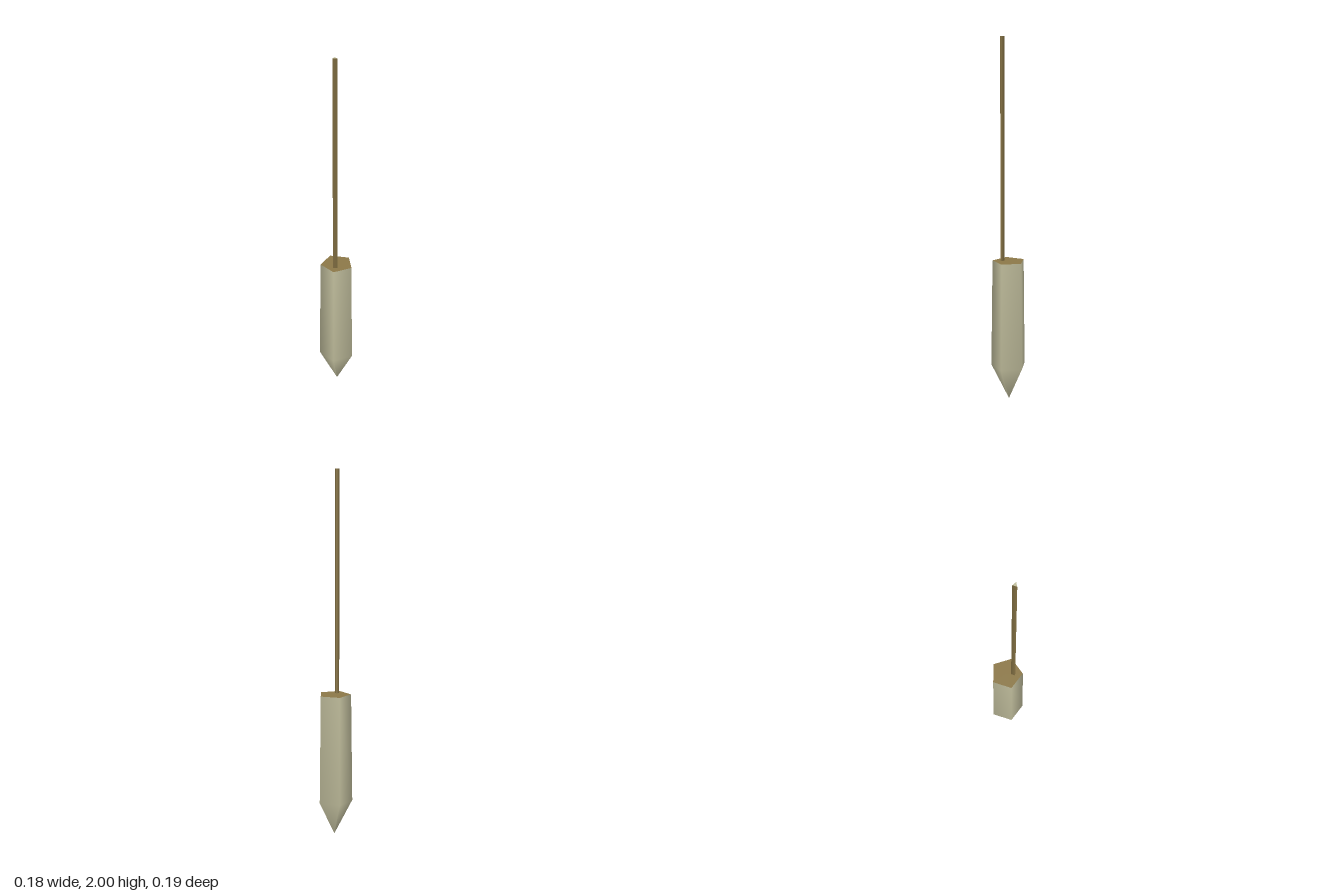
import * as THREE from 'three';

export function createModel() {
  const model = new THREE.Group();
  const pale = new THREE.MeshStandardMaterial({ color: 0xc0bd9c });
  const brown = new THREE.MeshStandardMaterial({ color: 0x8c7848 });
  const centreX = -0.0095, topY = 0.795, topRadius = 0.091;

  const add = (name, geometry, material, x, y, z) => {
    const mesh = new THREE.Mesh(geometry, material);
    mesh.name = name;
    mesh.position.set(x, y, z);
    model.add(mesh);
  };

  // Five-sided tapered body with a pointed lower end, one corner towards +x
  const profile = [[0, 0], [0.0995, 0.195], [topRadius, topY]].map(([r, y]) => new THREE.Vector2(r, y));
  add('body', new THREE.LatheGeometry(profile, 5, Math.PI / 2), pale, centreX, 0, 0);

  // Flat brown top face
  add('bodyTop', new THREE.CircleGeometry(topRadius, 5).rotateX(-Math.PI / 2), brown, centreX, topY, 0);

  // Thin three-sided rod standing off-centre, with pale ends
  const rodHeight = 2 - topY;
  const rod = new THREE.CylinderGeometry(0.014, 0.014, rodHeight, 3, 1, false, Math.PI / 2);
  add('rod', rod, [brown, pale, pale], 0.001, topY + rodHeight / 2, 0.038);

  return model;
}
